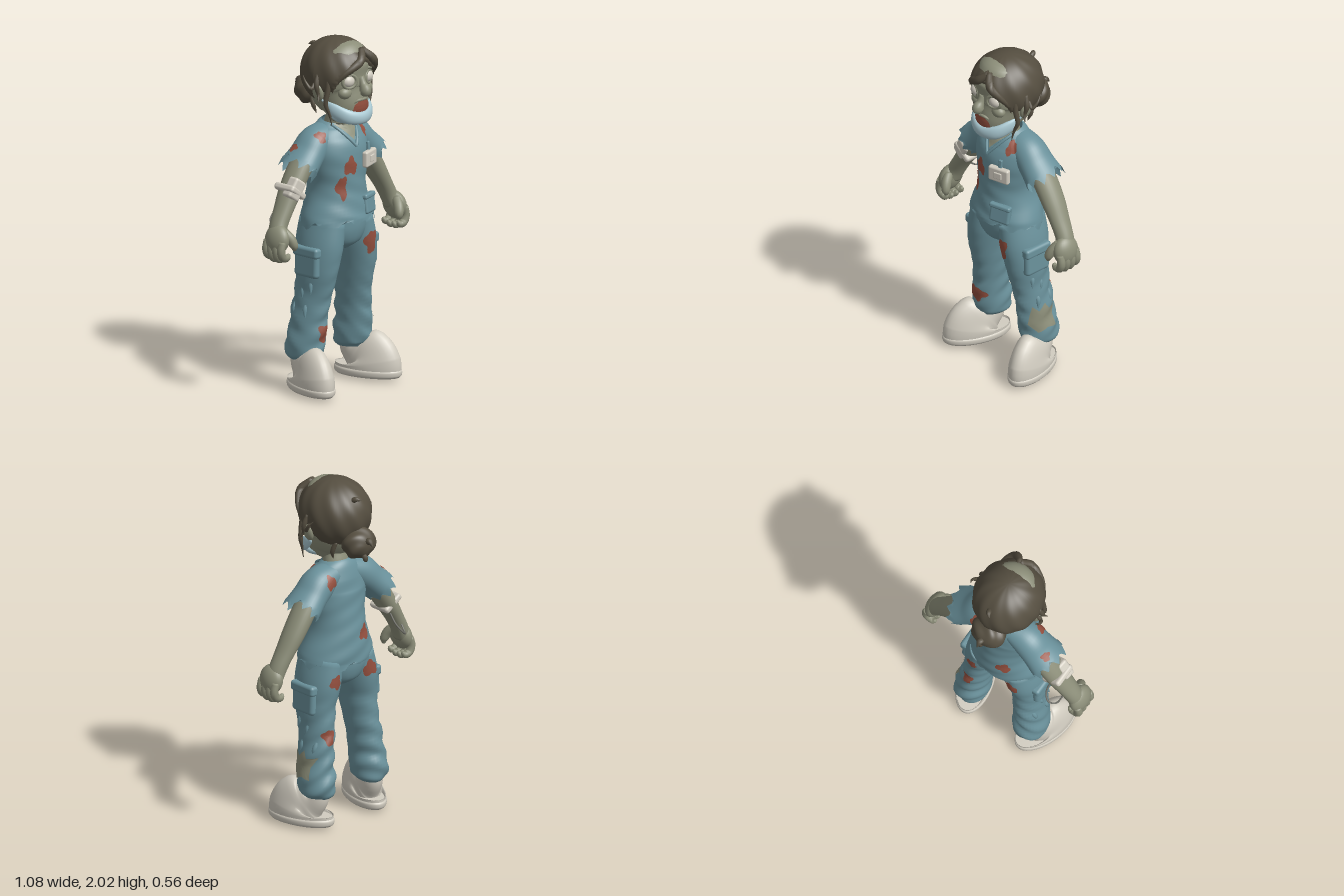
import * as THREE from 'three';
import { RoundedBoxGeometry } from 'three/addons/geometries/RoundedBoxGeometry.js';

const V = (x, y, z) => new THREE.Vector3(x, y, z);
const X = V(1, 0, 0), Y = V(0, 1, 0), Z = V(0, 0, 1);
const { smoothstep, lerp } = THREE.MathUtils;
const mat = (name, color, side = THREE.FrontSide) => new THREE.MeshStandardMaterial({ name, color, side });

// Smooth skin over elliptical sections; each row is [x, y, z, radiusU, radiusV]
function sweep(rows, { seg = 28, ref = Z, cap = true, warp } = {}) {
  const path = new THREE.CatmullRomCurve3(rows.map(r => V(r[0], r[1], r[2])));
  const radii = new THREE.CatmullRomCurve3(rows.map(r => V(r[3], r[4] ?? r[3], 0)), false, 'catmullrom', 0.5);
  const steps = (rows.length - 1) * 5, pos = [], idx = [];
  for (let i = 0; i <= steps; i++) {
    const t = i / steps, c = path.getPoint(t), r = radii.getPoint(t), tan = path.getTangent(t);
    const u = tan.clone().cross(ref).normalize(), v = u.clone().cross(tan);
    for (let j = 0; j < seg; j++) {
      const a = j / seg * Math.PI * 2;
      const p = c.clone().addScaledVector(u, Math.cos(a) * r.x).addScaledVector(v, Math.sin(a) * r.y);
      if (warp) warp(p, t, a, tan, j);
      pos.push(p.x, p.y, p.z);
      const k = (j + 1) % seg, A = i * seg + j, B = i * seg + k;
      if (i < steps) idx.push(A, A + seg, B, B, A + seg, B + seg);
    }
  }
  if (cap) {
    const n = (steps + 1) * seg, e = steps * seg;
    pos.push(rows[0][0], rows[0][1], rows[0][2], ...rows.at(-1).slice(0, 3));
    for (let j = 0; j < seg; j++) {
      const k = (j + 1) % seg;
      idx.push(n, j, k, n + 1, e + k, e + j);
    }
  }
  return build(pos, idx);
}

function build(pos, idx) {
  const g = new THREE.BufferGeometry();
  g.setAttribute('position', new THREE.Float32BufferAttribute(pos, 3));
  g.setIndex(idx);
  g.computeVertexNormals();
  return g;
}

// Moves every vertex of a unit sphere by a rule
function shapedSphere(rule) {
  const g = new THREE.SphereGeometry(1, 72, 56), p = g.attributes.position;
  for (let i = 0; i < p.count; i++) p.setXYZ(i, ...rule(V(p.getX(i), p.getY(i), p.getZ(i))).toArray());
  g.computeVertexNormals();
  return g;
}

// Outlines for patches: a wobbly blob, or a polygon walked at constant speed
const blob = (w, h, s) => t => {
  const a = t * Math.PI * 2, r = 1 + 0.16 * Math.sin(3 * a + s) + 0.12 * Math.sin(5 * a + 2 * s);
  return [w * r * Math.cos(a), h * r * Math.sin(a)];
};
const poly = pts => t => {
  const f = t * pts.length, i = Math.floor(f) % pts.length, b = pts[(i + 1) % pts.length];
  return pts[i].map((n, k) => lerp(n, b[k], f % 1));
};

export function createModel() {
  const model = new THREE.Group();
  model.name = 'undeadNurse';
  const skin = mat('skin', 0x8c8e79), hair = mat('hair', 0x554e40), scrubs = mat('scrubs', 0x6a919b, THREE.DoubleSide);
  const wound = mat('wound', 0x95503f), white = mat('offWhite', 0xd1ccc0), maskBlue = mat('maskBlue', 0xa9c8d1);
  const tubing = mat('tubing', 0x6d6d66);

  const add = (name, geo, m, parent = model) => {
    const o = new THREE.Mesh(geo, m);
    o.name = name;
    parent.add(o);
    return o;
  };
  const ball = (name, m, p, s, rz = 0) => {
    const o = add(name, new THREE.SphereGeometry(1, 28, 20), m);
    o.position.set(...p); o.scale.set(...s); o.rotation.z = rz;
    return o;
  };
  const box = (name, m, p, size, rot = [0, 0, 0], r = 0.012) => {
    const o = add(name, new RoundedBoxGeometry(...size, 3, r), m);
    o.position.set(...p); o.rotation.set(...rot);
    return o;
  };
  const strand = (name, m, pts, r, ref = Z) => add(name, sweep(pts.map((p, i) =>
    [...p, Math.max(0.002, r * (i ? 1 - (i / (pts.length - 1)) ** 2 : 0.7))]), { seg: 10, ref }), m);

  // Thin patch laid onto a surface by casting rays against it
  const caster = new THREE.Raycaster();
  const hit = (targets, p, d) => {
    caster.set(p.clone().addScaledVector(d, 1), d.clone().negate());
    return caster.intersectObjects(targets, false)[0]?.distance;
  };
  function patch(name, m, targets, center, dir, outline, off = 0.005) {
    const d = V(...dir).normalize(), c = V(...center), right = Y.clone().cross(d).normalize(), up = d.clone().cross(right);
    const n = 40, rings = 6, pos = [], idx = [], base = hit(targets, c, d) ?? 1;
    const put = (u, v) => {
      const p = c.clone().addScaledVector(right, u).addScaledVector(up, v);
      const h = hit(targets, p, d) ?? base;
      pos.push(...p.addScaledVector(d, 1 - (Math.abs(h - base) > 0.12 ? base : h) + off).toArray());
    };
    put(0, 0);
    for (let k = 1; k <= rings; k++) for (let j = 0; j < n; j++) {
      const [u, v] = outline(j / n), A = 1 + (k - 1) * n + j, B = 1 + (k - 1) * n + (j + 1) % n;
      put(u * k / rings, v * k / rings);
      if (k === 1) idx.push(0, A, B);
      if (k < rings) idx.push(A, A + n, B, B, A + n, B + n);
    }
    return add(name, build(pos, idx), m);
  }

  // Shirt with ragged hem
  const shirt = add('shirt', sweep([
    [0, 0.945, 0.03, 0.235, 0.182], [0, 1.0, 0.025, 0.222, 0.178], [0, 1.1, 0.022, 0.182, 0.165], [0, 1.18, 0.025, 0.17, 0.156],
    [0, 1.27, 0.03, 0.184, 0.15], [0, 1.36, 0.03, 0.196, 0.146], [0, 1.43, 0.02, 0.185, 0.125], [0, 1.49, 0.016, 0.14, 0.1],
    [0, 1.525, 0.02, 0.088, 0.075]], { seg: 56, cap: false, warp: (p, t, a) => {
    if (t === 0) p.y += 0.014 * Math.sin(a * 7) + 0.012 * Math.sin(a * 13 + 1);
    else p.z += 0.003 * Math.sin(p.y * 60 + p.x * 25) * (1 - t);
  } }), scrubs);
  const neck = add('neck', sweep([[0, 1.42, 0.02, 0.085, 0.075], [0, 1.5, 0.025, 0.076, 0.068], [0, 1.56, 0.04, 0.07, 0.066], [0, 1.65, 0.05, 0.075, 0.07]]), skin);
  patch('neckline', skin, [shirt], [0, 1.455, 0], [0, 0.2, 1], poly([[0, -0.06], [0.078, 0.045], [0.03, 0.055], [-0.03, 0.055], [-0.078, 0.045]]), 0.004);
  for (const s of [-1, 1]) {
    const pts = [[0, 1.393], [0.035, 1.44], [0.07, 1.49], [0.085, 1.515]].map(([x, y]) =>
      V(x * s, y, 1 - (hit([shirt], V(x * s, y, 0), Z) ?? 0.93) + 0.004));
    add('collar', new THREE.TubeGeometry(new THREE.CatmullRomCurve3(pts), 16, 0.009, 8), scrubs);
  }

  // Trousers seat
  const seat = add('trouserSeat', sweep([[0, 0.79, 0.02, 0.05, 0.08], [0, 0.83, 0.02, 0.14, 0.135], [0, 0.9, 0.02, 0.2, 0.158], [0, 0.98, 0.02, 0.212, 0.162]]), scrubs);

  const sleeves = {}, legs = {};
  for (const s of [-1, 1]) {
    const side = s > 0 ? 'left' : 'right', flip = rows => rows.map(([x, ...r]) => [x * s, ...r]);

    // Sleeve with torn edge
    sleeves[s] = add(side + 'Sleeve', sweep(flip([[0.06, 1.455, 0, 0.07, 0.085], [0.15, 1.412, 0, 0.094, 0.1], [0.22, 1.35, -0.002, 0.088, 0.108], [0.285, 1.29, -0.005, 0.092, 0.122]]),
      { seg: 40, cap: false, warp: (p, t, a, tan, j) => {
        if (t === 1) p.addScaledVector(tan, [0.026, 0.005, -0.02, -0.008][j % 4] + 0.01 * Math.sin(a * 3));
      } }), scrubs);

    // Arm and curled hand
    add(side + 'Arm', sweep(flip([[0.16, 1.42, -0.005, 0.06, 0.07], [0.275, 1.275, -0.01, 0.06, 0.074], [0.35, 1.165, -0.01, 0.056, 0.07], [0.41, 1.07, -0.005, 0.048, 0.06],
      [0.455, 0.99, 0, 0.047, 0.054], [0.48, 0.93, 0.01, 0.045, 0.06]])), skin);
    ball(side + 'Palm', skin, [0.487 * s, 0.925, 0.02], [0.05, 0.085, 0.08], 0.2 * s);
    for (let i = 0; i < 4; i++) {
      const z = -0.035 + i * 0.037, y = i % 3 ? -0.01 : 0;
      add(side + 'Finger', sweep(flip([[0.505, 0.92, z, 0.022], [0.516, 0.865, z, 0.024], [0.5, 0.83 + y, z, 0.023], [0.468, 0.825 + y, z, 0.021], [0.45, 0.842 + y, z, 0.008]]), { seg: 12 }), skin);
    }
    add(side + 'Thumb', sweep(flip([[0.468, 0.97, 0.05, 0.028], [0.448, 0.93, 0.085, 0.028], [0.435, 0.89, 0.1, 0.024], [0.432, 0.862, 0.1, 0.008]]), { seg: 12 }), skin);

    // Trouser leg with soft wrinkles and cuff
    legs[s] = add(side + 'TrouserLeg', sweep(flip([[0.11, 0.96, 0.02, 0.1, 0.15], [0.138, 0.82, 0.02, 0.106, 0.153], [0.155, 0.7, 0.02, 0.098, 0.135], [0.165, 0.55, 0, 0.086, 0.118],
      [0.182, 0.42, -0.015, 0.088, 0.114], [0.19, 0.33, -0.02, 0.092, 0.114], [0.196, 0.25, -0.033, 0.101, 0.117], [0.197, 0.195, -0.035, 0.096, 0.11], [0.197, 0.168, -0.033, 0.07, 0.085]]),
      { seg: 36, warp: (p, t, a) => {
        const w = 0.006 * Math.sin(p.y * 55 + p.x * 30 * s + p.z * 22) * smoothstep(t, 0.1, 0.5);
        p.x += w * Math.sign(Math.cos(a)) * 0.5; p.z += w;
      } }), scrubs);
    box(side + 'CargoPocket', scrubs, [0.232 * s, 0.735, 0.02], [0.055, 0.16, 0.17], [0, 0, 0.04 * s], 0.022);
    box(side + 'PocketFlap', scrubs, [0.234 * s, 0.802, 0.02], [0.066, 0.06, 0.182], [0, 0, 0.04 * s], 0.018);
    for (const [x, y, z] of [[0.235, 0.61, 0.05], [0.235, 0.57, -0.01], [0.25, 0.47, 0.02], [0.24, 0.46, -0.07]])
      strand(side + 'TornCloth', scrubs, [[(x - 0.025) * s, y + 0.05, z], [(x + 0.004) * s, y, z], [(x + 0.018) * s, y - 0.045, z + 0.01]], 0.02);

    // Shoe
    const shoe = new THREE.Group();
    shoe.name = side + 'Shoe';
    shoe.position.set(0.236 * s, 0, 0.047);
    shoe.rotation.y = 0.3 * s;
    model.add(shoe);
    add('sole', sweep([[0, 0, 0, 0.09, 0.19], [0, 0.012, 0, 0.1, 0.202], [0, 0.035, 0, 0.102, 0.205], [0, 0.048, 0, 0.094, 0.197]], { seg: 36 }), white, shoe);
    add('upper', sweep([[0, 0.03, 0, 0.096, 0.199], [0, 0.075, 0, 0.098, 0.199], [0, 0.11, -0.012, 0.088, 0.178], [0, 0.135, -0.05, 0.076, 0.132], [0, 0.16, -0.085, 0.066, 0.088], [0, 0.2, -0.092, 0.062, 0.074]], { seg: 36 }), white, shoe);
    add('tongue', sweep([[0, 0.105, 0.085, 0.05, 0.012], [0, 0.135, 0.035, 0.052, 0.016], [0, 0.17, -0.015, 0.045, 0.014]]), white, shoe);
  }

  // Head
  const head = add('head', sweep([[0, 1.53, 0.12, 0.04, 0.04], [0, 1.555, 0.11, 0.095, 0.098], [0, 1.62, 0.092, 0.13, 0.134], [0, 1.7, 0.05, 0.156, 0.172],
    [0, 1.78, 0.038, 0.166, 0.18], [0, 1.86, 0.03, 0.17, 0.19], [0, 1.93, 0.03, 0.14, 0.155], [0, 1.97, 0.02, 0.06, 0.07]], { seg: 40 }), skin);
  add('nose', sweep([[0, 1.8, 0.205, 0.02, 0.02], [0, 1.76, 0.222, 0.022, 0.024], [0, 1.725, 0.242, 0.032, 0.036], [0, 1.7, 0.232, 0.022, 0.018]], { seg: 16 }), skin);
  for (const s of [-1, 1]) {
    ball('eye', white, [0.077 * s, 1.785, 0.178], [0.042, 0.037, 0.036]);
    const lid = add('eyelid', new THREE.TorusGeometry(0.042, 0.011, 10, 28), skin);
    lid.position.set(0.077 * s, 1.785, 0.192); lid.rotation.y = 0.35 * s; lid.scale.y = 0.9;
    ball('brow', skin, [0.075 * s, 1.838, 0.185], [0.055, 0.016, 0.026], -0.12 * s);
    ball('cheek', skin, [0.085 * s, 1.715, 0.165], [0.045, 0.035, 0.035]);
    ball('ear', skin, [0.182 * s, 1.718, 0.05], [0.022, 0.054, 0.036], -0.2 * s);
    strand('maskStrap', maskBlue, [[0.14 * s, 1.64, 0.09], [0.165 * s, 1.67, 0.07], [0.178 * s, 1.7, 0.04], [0.18 * s, 1.73, 0.02]], 0.007);
  }
  patch('mouth', wound, [head], [0, 1.632, 0], [0, 0, 1], poly([[-0.066, -0.03], [0.066, -0.03], [0.058, 0.012], [0.03, 0.034], [-0.03, 0.034], [-0.058, 0.012]]), 0.008);
  strand('upperLip', skin, [[0, 1.672, 0.222], [0.03, 1.67, 0.215], [0.066, 1.645, 0.19]], 0.011);
  strand('upperLip', skin, [[0, 1.672, 0.222], [-0.03, 1.67, 0.215], [-0.066, 1.645, 0.19]], 0.011);

  // Face mask pulled under the chin
  add('faceMask', sweep([[-0.142, 1.655, 0.07, 0.008, 0.015], [-0.132, 1.62, 0.12, 0.018, 0.036], [-0.085, 1.58, 0.19, 0.022, 0.04], [0, 1.565, 0.218, 0.022, 0.036],
    [0.085, 1.58, 0.19, 0.022, 0.04], [0.132, 1.62, 0.12, 0.018, 0.036], [0.142, 1.655, 0.07, 0.008, 0.015]], { seg: 20, ref: Y }), maskBlue);
  ball('maskUnderChin', maskBlue, [0, 1.565, 0.128], [0.118, 0.042, 0.1]);

  // Hair cap, tucked into the skull over the face
  add('hairCap', shapedSphere(d => {
    const az = Math.atan2(d.x, d.z), f = Math.abs(az), y = 1.8 + 0.2 * d.y;
    const line = 1.885 - 0.07 * smoothstep(f, 0.15, 0.65) - 0.1 * smoothstep(f, 0.65, 1.1) - 0.1 * smoothstep(f, 1.5, 2);
    const k = lerp(0.78, 1, smoothstep(y, line - 0.012, line + 0.012));
    const groove = 1 + 0.014 * Math.sin(11 * az + 5 * d.y) * (1 - d.y * d.y);
    return V(d.x * 0.198, d.y * 0.2, d.z * 0.218).multiplyScalar(k * groove).add(V(0, 1.8, 0.03));
  }), hair);
  add('hairBun', shapedSphere(d => V(d.x * 0.104, d.y * 0.09, d.z * 0.084)
    .multiplyScalar(1 + 0.05 * Math.sin(5 * Math.atan2(d.y, d.x) + 5 * d.z) * (1 - d.z * d.z)).add(V(0, 1.668, -0.168))), hair);
  const tie = add('hairTie', new THREE.TorusGeometry(0.06, 0.018, 10, 28), hair);
  tie.position.set(0, 1.69, -0.105); tie.rotation.x = 0.3;

  // Fringe and loose locks
  for (const s of [-1, 1]) {
    strand('fringe', hair, [[0.03, 1.95, 0.185], [0.03 + 0.05 * s, 1.895, 0.222], [0.01 + 0.115 * s, 1.84, 0.195], [0.15 * s, 1.77, 0.145], [0.152 * s, 1.72, 0.13]], 0.026, X);
    strand('templeLock', hair, [[0.165 * s, 1.83, 0.11], [0.172 * s, 1.74, 0.115], [0.185 * s, 1.66, 0.11], [0.165 * s, 1.6, 0.12], [0.15 * s, 1.535, 0.125]], 0.017);
    strand('sideLock', hair, [[0.185 * s, 1.82, 0.05], [0.205 * s, 1.76, 0.06], [0.2 * s, 1.71, 0.07], [0.222 * s, 1.675, 0.09]], 0.017);
    strand('flyawayLock', hair, [[0.18 * s, 1.78, 0.03], [0.215 * s, 1.74, 0.03], [0.228 * s, 1.775, 0.0], [0.218 * s, 1.81, -0.03]], 0.013);
    strand('napeLock', hair, [[0.09 * s, 1.67, -0.08], [0.1 * s, 1.61, -0.06], [0.085 * s, 1.56, -0.05]], 0.018);
  }
  strand('crownTuft', hair, [[0.02, 1.9, -0.12], [0.01, 1.925, -0.155], [-0.01, 1.92, -0.178]], 0.02, X);
  strand('bunTuft', hair, [[0, 1.68, -0.22], [0, 1.7, -0.255], [0, 1.675, -0.285]], 0.025, X);
  strand('bunTuft', hair, [[0.02, 1.63, -0.22], [0.01, 1.59, -0.235], [0, 1.57, -0.22]], 0.02, X);

  // Badge, pen and shirt pocket
  box('badge', white, [0.105, 1.305, 0.176], [0.13, 0.092, 0.035], [0, 0.3, 0]);
  box('badgePlate', white, [0.11, 1.305, 0.193], [0.05, 0.04, 0.012], [0, 0.3, 0], 0.005);
  box('penClip', scrubs, [0.105, 1.37, 0.168], [0.024, 0.055, 0.016], [-0.1, 0.3, 0], 0.006);
  box('shirtPocket', scrubs, [0.105, 1.04, 0.166], [0.125, 0.11, 0.04], [-0.15, 0.35, 0], 0.014);
  box('shirtPocketFlap', scrubs, [0.105, 1.085, 0.167], [0.132, 0.03, 0.04], [-0.15, 0.35, 0], 0.012);

  // Drip port on the right arm
  box('dripPort', white, [-0.358, 1.19, 0.03], [0.088, 0.12, 0.07], [0, -0.1, -0.6], 0.016);
  box('dripTape', white, [-0.352, 1.172, -0.005], [0.135, 0.04, 0.145], [0, 0, -0.6], 0.016);
  add('dripTube', new THREE.TubeGeometry(new THREE.CatmullRomCurve3([V(-0.34, 1.12, -0.05), V(-0.342, 1.06, -0.1), V(-0.375, 1.01, -0.125),
    V(-0.41, 0.99, -0.1), V(-0.425, 1.03, -0.05)]), 32, 0.005, 8), tubing);

  // Bloodstains on cloth: [targets, centre, direction, width, height]
  const L = legs[1], R = legs[-1];
  [[[shirt, sleeves[-1]], [-0.17, 1.44, 0], [-0.2, 0.3, 1], 0.03, 0.034], [[shirt, sleeves[1]], [0.115, 1.435, 0], [0.1, 0.2, 1], 0.027, 0.04],
    [[shirt], [-0.05, 1.285, 0], [0, 0, 1], 0.04, 0.05], [[shirt], [-0.1, 1.165, 0], [0, 0, 1], 0.025, 0.066],
    [[sleeves[-1]], [-0.262, 1.36, -0.025], [-0.55, 0.8, -0.15], 0.027, 0.027], [[shirt, sleeves[1]], [0.13, 1.42, 0], [0.1, 0.2, -1], 0.034, 0.04],
    [[shirt], [-0.07, 1.1, 0], [0, 0, -1], 0.04, 0.042], [[L, seat], [0.125, 0.815, 0], [0, 0, 1], 0.038, 0.066],
    [[R], [-0.178, 0.33, 0], [0, 0, 1], 0.046, 0.05], [[R, seat], [-0.12, 0.87, 0], [0, 0, -1], 0.045, 0.045],
    [[L, seat], [0.14, 0.85, 0], [0, 0, -1], 0.034, 0.04], [[L], [0.18, 0.53, 0], [0, 0, -1], 0.035, 0.045]]
    .forEach(([t, c, d, w, h], i) => patch('bloodstain', wound, t, c, d, blob(w, h, i * 1.7)));

  // Skin showing through the torn left shin
  patch('exposedShin', skin, [L], [0.19, 0.355, -0.015], [1, 0, 0.25], poly([[-0.085, -0.03], [-0.03, -0.085], [0.03, -0.06], [0.085, -0.07], [0.07, 0],
    [0.095, 0.06], [0.045, 0.05], [0.02, 0.09], [-0.02, 0.05], [-0.06, 0.085]]), 0.006);
  return model;
}
